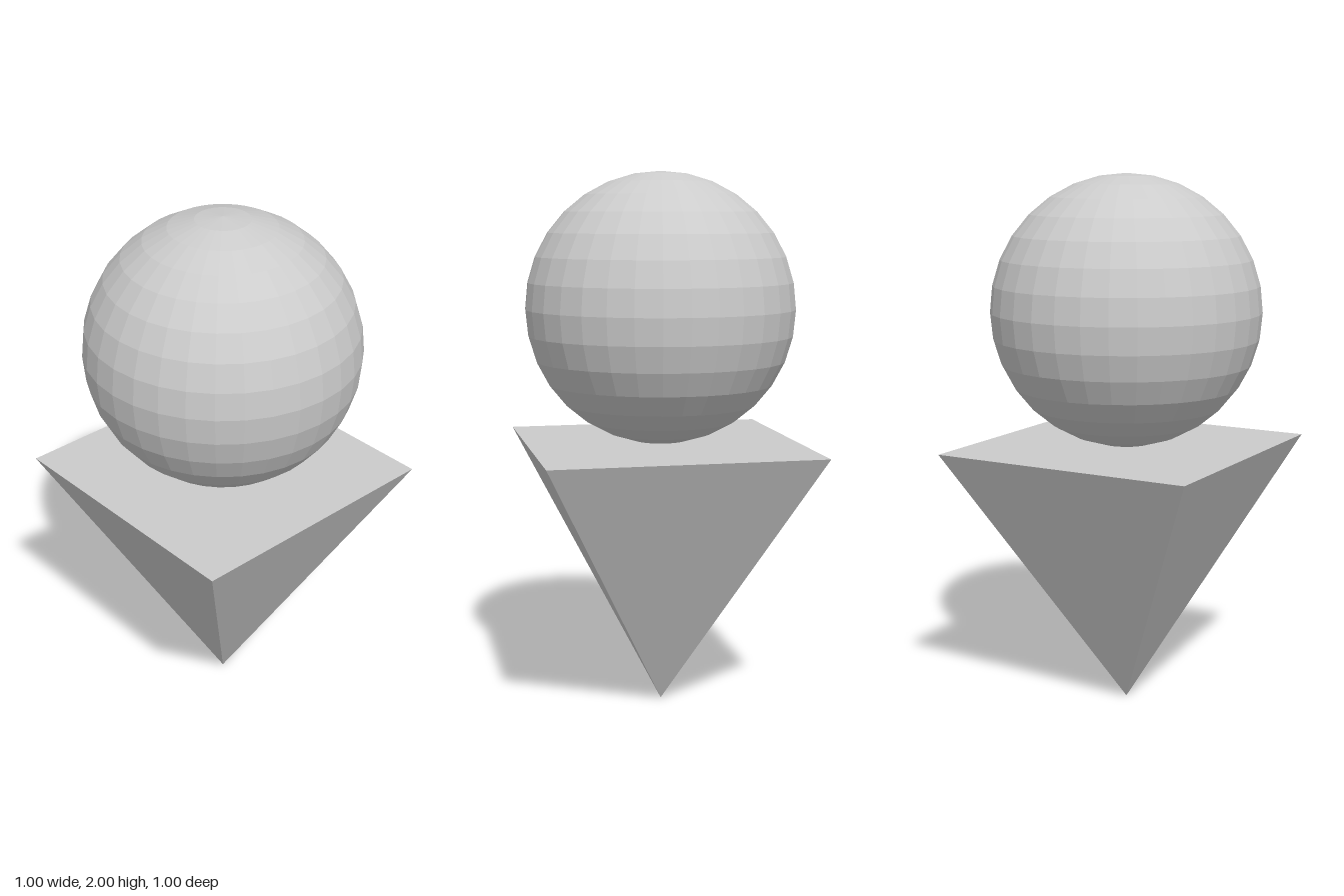
import * as THREE from 'three';

export function createModel() {
  const model = new THREE.Group();
  const material = new THREE.MeshStandardMaterial({ color: 0xcccccc, flatShading: true });

  const addPart = (name, geometry, y) => {
    const mesh = new THREE.Mesh(geometry, material);
    mesh.name = name;
    mesh.position.y = y;
    model.add(mesh);
  };

  // Square pyramid standing on its tip, sides parallel to the axes
  const pyramid = new THREE.ConeGeometry(Math.SQRT1_2, 1, 4);
  pyramid.rotateY(Math.PI / 4).rotateX(Math.PI);
  addPart('invertedPyramid', pyramid, 0.5);

  // Faceted ball resting on the pyramid's flat top
  addPart('ball', new THREE.SphereGeometry(0.5, 32, 16), 1.5);

  return model;
}
